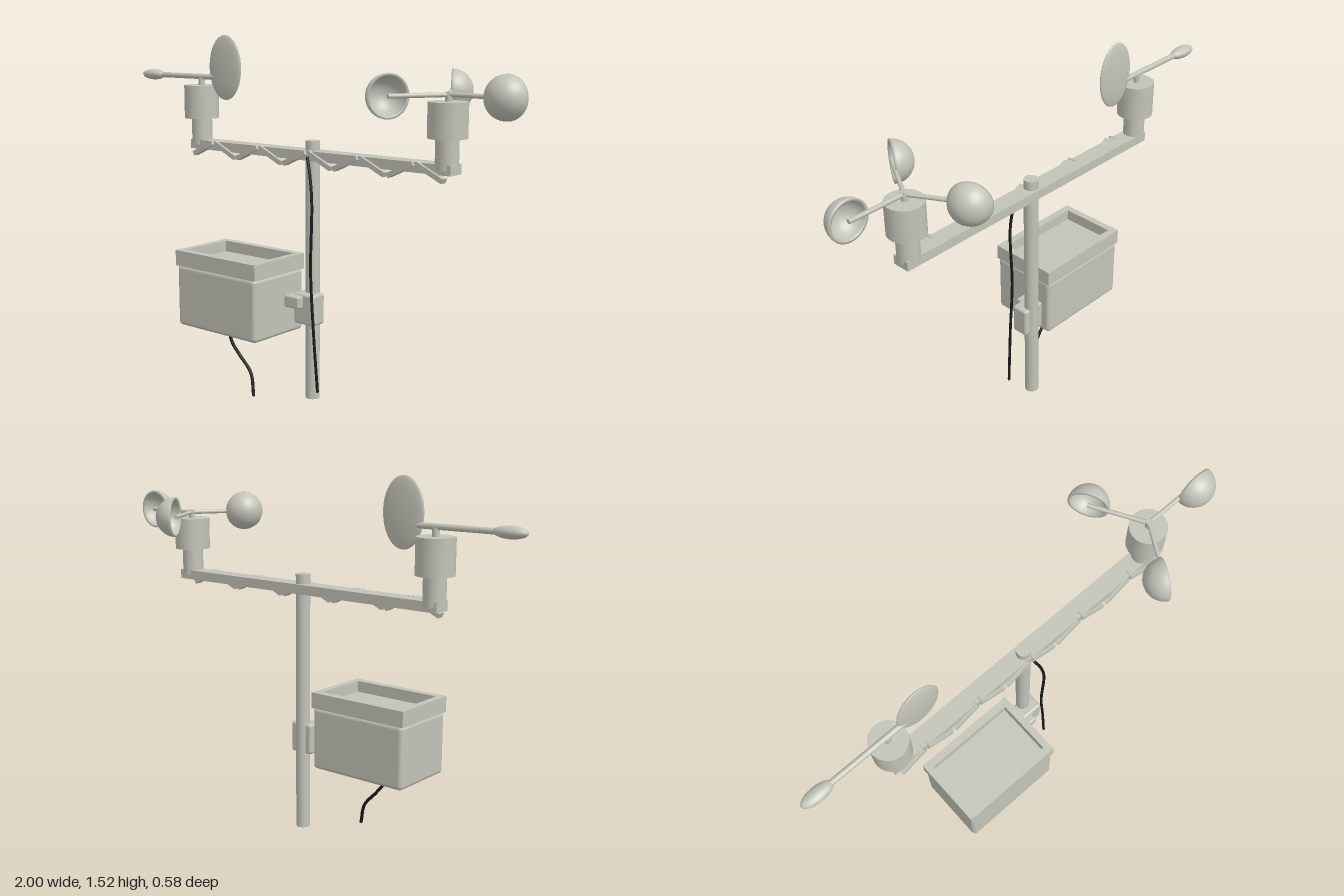
import * as THREE from 'three';
import { RoundedBoxGeometry } from 'three/addons/geometries/RoundedBoxGeometry.js';

export function createModel() {
  const model = new THREE.Group();
  model.name = 'weatherStation';
  const grey = new THREE.MeshStandardMaterial({ color: 0xc2c3b8 });
  grey.name = 'paleGrey';
  const black = new THREE.MeshStandardMaterial({ color: 0x1b1b1b });
  black.name = 'cableBlack';

  const add = (name, geo, x, y, z, parent = model, mat = grey) => {
    const mesh = new THREE.Mesh(geo, mat);
    mesh.name = name;
    mesh.position.set(x, y, z);
    parent.add(mesh);
    return mesh;
  };
  // Upright cylinder given by its bottom and top heights
  const post = (name, r, y0, y1, x, z, parent = model) =>
    add(name, new THREE.CylinderGeometry(r, r, y1 - y0, 32), x, (y0 + y1) / 2, z, parent);
  // Box given by its extents, rounded when a radius is passed
  const block = (name, x0, x1, y0, y1, z0, z1, r = 0) => {
    const s = [x1 - x0, y1 - y0, z1 - z0];
    const geo = r ? new RoundedBoxGeometry(...s, 3, r) : new THREE.BoxGeometry(...s);
    return add(name, geo, (x0 + x1) / 2, (y0 + y1) / 2, (z0 + z1) / 2);
  };

  // Mast and crossbeam
  post('mast', 0.03, 0, 1.1, 0.025, 0.004);
  block('crossbeam', -0.655, 0.71, 1.02, 1.06, -0.036, 0.04);

  // Zigzag bracing along the front of the beam
  for (let i = 0; i < 10; i++) {
    const slat = add('braceSlat', new THREE.BoxGeometry(0.13, 0.02, 0.032), -0.57 + i * 0.1325, 1.027, 0.036);
    slat.rotation.z = (i % 2 ? -1 : 1) * 0.44;
  }

  // Sensor housings at both ends
  for (const [side, x, top] of [['right', -0.62, 1.3], ['left', 0.67, 1.29]]) {
    post(side + 'SensorNeck', 0.045, 1.04, 1.16, x, 0.002);
    post(side + 'SensorHousing', 0.076, 1.155, top, x, 0.002);
  }

  // Wind vane: arm, counterweight and tail
  const vane = new THREE.Group();
  vane.name = 'windVane';
  model.add(vane);
  post('vanePivot', 0.014, 1.29, 1.335, -0.62, 0, vane);
  const vaneArm = add('vaneArm', new THREE.CylinderGeometry(0.012, 0.012, 0.37, 16), -0.7, 1.337, 0, vane);
  vaneArm.rotation.z = Math.PI / 2;
  add('vaneCounterweight', new THREE.SphereGeometry(1, 24, 16).scale(0.07, 0.024, 0.03), -0.93, 1.337, 0, vane);
  add('vaneTail', new THREE.SphereGeometry(1, 36, 24).scale(0.094, 0.14, 0.016), -0.473, 1.38, 0, vane);

  // Three-cup rotor
  const rotor = new THREE.Group();
  rotor.name = 'cupRotor';
  rotor.position.set(0.67, 1.315, 0);
  model.add(rotor);
  post('rotorHub', 0.013, -0.035, 0.01, 0, 0, rotor);
  const profile = [];
  for (let i = 0; i <= 14; i++) {
    const a = (i / 14) * Math.PI / 2;
    profile.push(new THREE.Vector2(0.084 * Math.sin(a), -0.084 * Math.cos(a)));
  }
  for (let i = 14; i >= 0; i--) {
    const a = (i / 14) * Math.PI / 2;
    profile.push(new THREE.Vector2(0.074 * Math.sin(a), -0.074 * Math.cos(a)));
  }
  const cupGeo = new THREE.LatheGeometry(profile, 32).rotateX(-Math.PI / 2);
  for (let i = 0; i < 3; i++) {
    const spoke = new THREE.Group();
    spoke.name = 'cupSpoke';
    spoke.rotation.y = (i * Math.PI * 2) / 3;
    rotor.add(spoke);
    const arm = add('cupArm', new THREE.CylinderGeometry(0.009, 0.009, 0.245, 12), 0.1225, 0, 0, spoke);
    arm.rotation.z = Math.PI / 2;
    add('cup', cupGeo, 0.242, 0, 0, spoke);
  }

  // Equipment box with a framed, recessed lid
  block('equipmentBox', -0.505, -0.052, 0.283, 0.55, -0.026, 0.28, 0.018);
  const rect = (path, w, d) => {
    path.moveTo(-w, -d);
    path.lineTo(w, -d);
    path.lineTo(w, d);
    path.lineTo(-w, d);
    path.closePath();
    return path;
  };
  const frame = rect(new THREE.Shape(), 0.23, 0.155);
  frame.holes.push(rect(new THREE.Path(), 0.2, 0.122));
  const frameGeo = new THREE.ExtrudeGeometry(frame, { depth: 0.067, bevelEnabled: false }).rotateX(-Math.PI / 2);
  add('lidFrame', frameGeo, -0.279, 0.547, 0.127);
  block('lidPanel', -0.49, -0.07, 0.548, 0.566, -0.01, 0.265);

  // Bracket joining box and mast
  block('mastClamp', -0.03, 0.078, 0.332, 0.464, -0.012, 0.066, 0.012);
  block('clampArm', -0.055, 0.023, 0.404, 0.456, 0.045, 0.097, 0.008);

  // Cables
  const cable = (name, r, pts) => {
    const curve = new THREE.CatmullRomCurve3(pts.map((p) => new THREE.Vector3(...p)));
    add(name, new THREE.TubeGeometry(curve, 48, r, 8), 0, 0, 0, model, black);
    for (const p of [pts[0], pts[pts.length - 1]]) add(name + 'End', new THREE.SphereGeometry(r, 8, 6), ...p, model, black);
  };
  cable('mastCable', 0.006, [
    [0.04, 1.035, 0.056], [0.062, 0.96, 0.066], [0.077, 0.855, 0.073], [0.071, 0.57, 0.073],
    [0.086, 0.33, 0.074], [0.105, 0.06, 0.069],
  ]);
  cable('boxCable', 0.007, [
    [-0.305, 0.29, 0.175], [-0.285, 0.22, 0.172], [-0.25, 0.17, 0.164], [-0.19, 0.1, 0.159], [-0.163, 0.012, 0.172],
  ]);

  return model;
}
